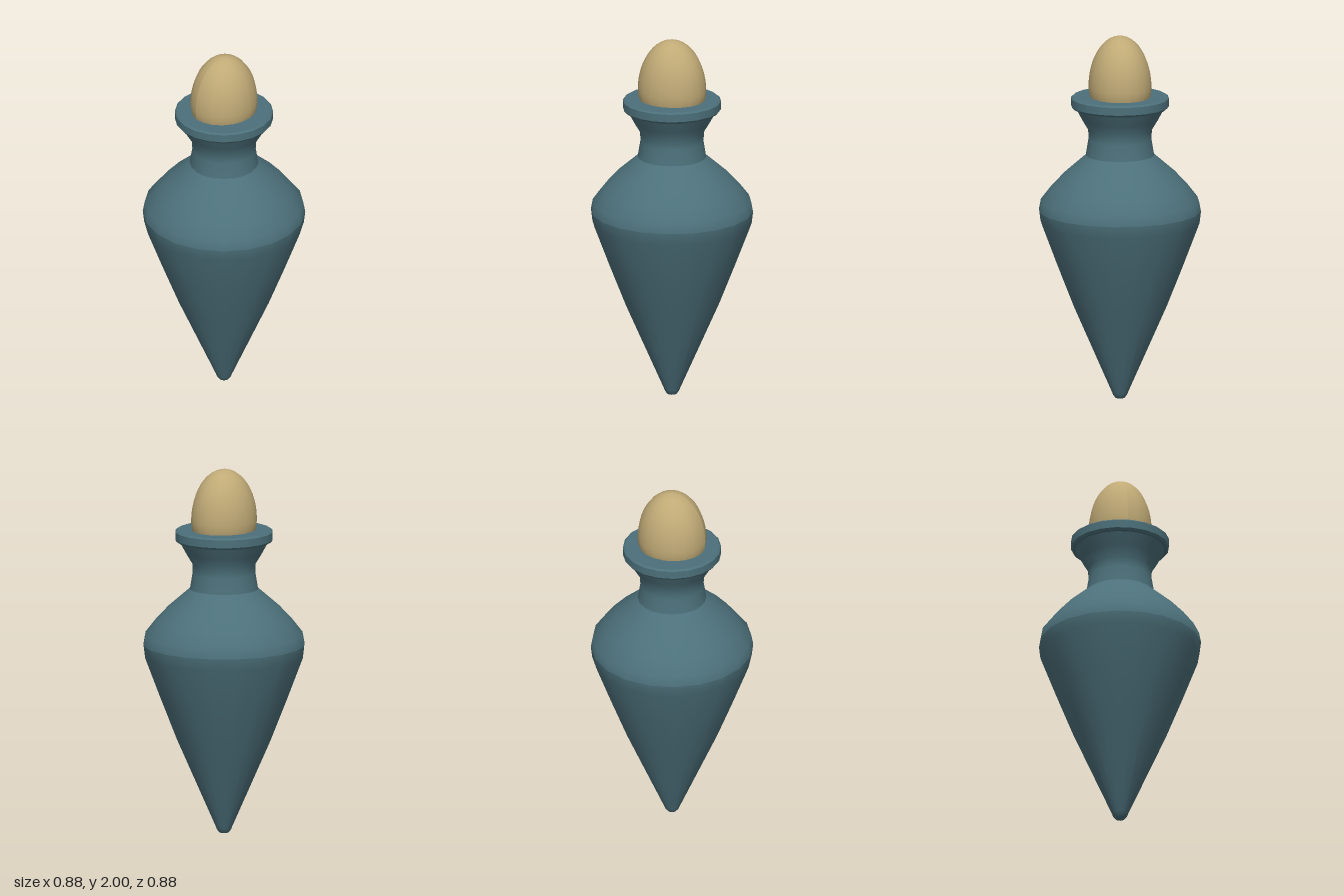
import * as THREE from 'three';

const SIDES = 20;

// Revolve [radius, height] points; each section is smooth, with sharp edges between sections
function turned(name, points, material) {
  const profile = points.map(([r, y]) => new THREE.Vector2(r, y));
  const mesh = new THREE.Mesh(new THREE.LatheGeometry(profile, SIDES), material);
  mesh.name = name;
  return mesh;
}

export function createModel() {
  const group = new THREE.Group();
  group.name = 'bottle';
  const glaze = new THREE.MeshStandardMaterial({ color: 0x4c707a });
  const cork = new THREE.MeshStandardMaterial({ color: 0xc0aa76 });

  // Vessel, from the pointed foot up to the rim
  const sections = {
    foot: [[0, 0], [0.025, 0.006], [0.038, 0.022], [0.045, 0.04]],
    lowerBody: [[0.045, 0.04], [0.255, 0.52], [0.345, 0.75], [0.43, 0.975], [0.438, 1.04]],
    shoulder: [[0.438, 1.04], [0.428, 1.095], [0.37, 1.17], [0.3, 1.245], [0.185, 1.345]],
    neck: [[0.185, 1.345], [0.171, 1.43], [0.172, 1.485], [0.205, 1.54], [0.24, 1.605]],
    lipUnderside: [[0.24, 1.605], [0.255, 1.605]],
    lipLowerBevel: [[0.255, 1.605], [0.265, 1.617]],
    lipBand: [[0.265, 1.617], [0.265, 1.66]],
    lipUpperBevel: [[0.265, 1.66], [0.255, 1.668]],
    lipTop: [[0.255, 1.668], [0, 1.668]],
  };
  for (const [name, points] of Object.entries(sections)) group.add(turned(name, points, glaze));

  // Egg-shaped stopper, slightly flattened front to back, seated in the mouth
  const stopper = new THREE.Mesh(new THREE.SphereGeometry(1, SIDES, 24), cork);
  stopper.name = 'stopper';
  stopper.scale.set(0.187, 0.28, 0.169);
  stopper.position.y = 1.72;
  // Keep the hidden lower end inside the neck
  const pos = stopper.geometry.attributes.position;
  for (let i = 0; i < pos.count; i++) if (pos.getY(i) < 0) pos.setY(i, pos.getY(i) * 0.7);
  stopper.geometry.computeVertexNormals();
  group.add(stopper);

  return group;
}
